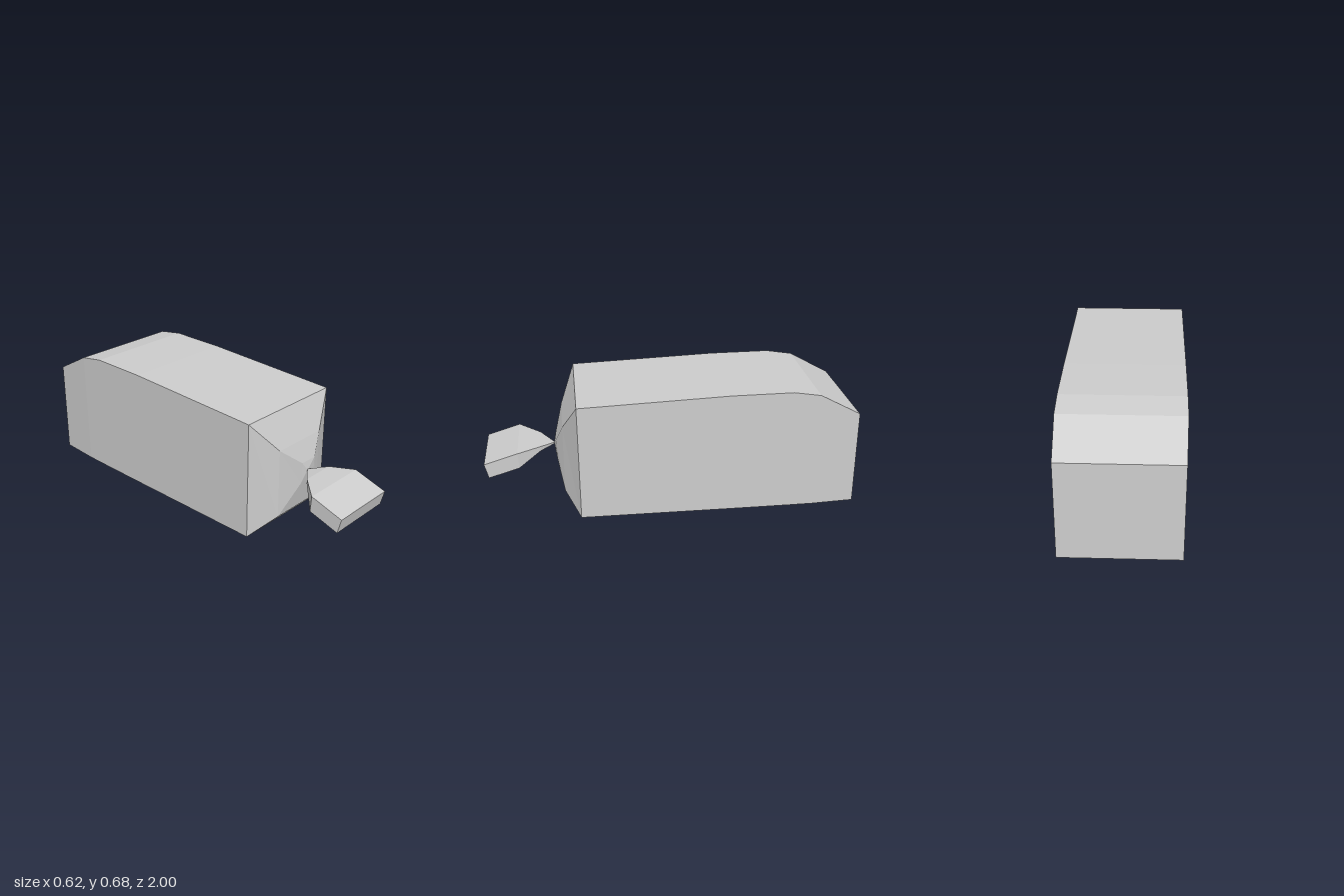
import * as THREE from 'three';

// Joins four-cornered sections, ordered back to front, into a closed solid.
// Section: [xMin, xMax, yBottom, yTop, zBottom, zTop]
function loft(sections, material, name) {
  const rings = sections.map(([x0, x1, y0, y1, zb, zt]) => [
    [x0, y0, zb], [x1, y0, zb], [x1, y1, zt], [x0, y1, zt],
  ]);
  const positions = [];
  const quad = (a, b, c, d) => positions.push(...a, ...b, ...c, ...a, ...c, ...d);
  for (let i = 0; i < rings.length - 1; i++) {
    const back = rings[i], front = rings[i + 1];
    for (let j = 0; j < 4; j++) {
      const k = (j + 1) % 4;
      quad(back[j], back[k], front[k], front[j]);
    }
  }
  const first = rings[0], last = rings[rings.length - 1];
  quad(first[3], first[2], first[1], first[0]);
  quad(...last);

  const geometry = new THREE.BufferGeometry();
  geometry.setAttribute('position', new THREE.Float32BufferAttribute(positions, 3));
  geometry.computeVertexNormals(); // unshared corners keep every facet flat
  const mesh = new THREE.Mesh(geometry, material);
  mesh.name = name;
  return mesh;
}

export function createModel() {
  const group = new THREE.Group();
  group.name = 'baggedLoaf';

  const bagGrey = new THREE.MeshStandardMaterial({ color: 0xcccccc });
  bagGrey.name = 'bagGrey';

  // The narrow neck where the bag is gathered
  const neck = [0.01, 0.02, 0.316, 0.324, 0.625, 0.625];

  // Long box of the bag, rounded down at the back and gathered at the front
  group.add(loft([
    [-0.302, 0.302, 0.002, 0.53, -1, -0.993],
    [-0.31, 0.31, 0, 0.652, -0.77, -0.77],
    [-0.31, 0.31, 0, 0.676, -0.625, -0.625],
    [-0.31, 0.31, 0.002, 0.676, -0.3, -0.3],
    [-0.31, 0.31, 0.009, 0.65, 0.5, 0.5],
    [-0.16, 0.16, 0.097, 0.478, 0.58, 0.577],
    [-0.02, 0.08, 0.25, 0.368, 0.612, 0.615],
    neck,
  ], bagGrey, 'bagBody'));

  // Loose end fanning out beyond the neck and drooping
  group.add(loft([
    neck,
    [-0.09, 0.092, 0.312, 0.338, 0.7, 0.7],
    [-0.207, 0.16, 0.252, 0.338, 0.815, 0.82],
    [-0.207, 0.16, 0.202, 0.283, 0.98, 1],
  ], bagGrey, 'bagTail'));

  return group;
}
